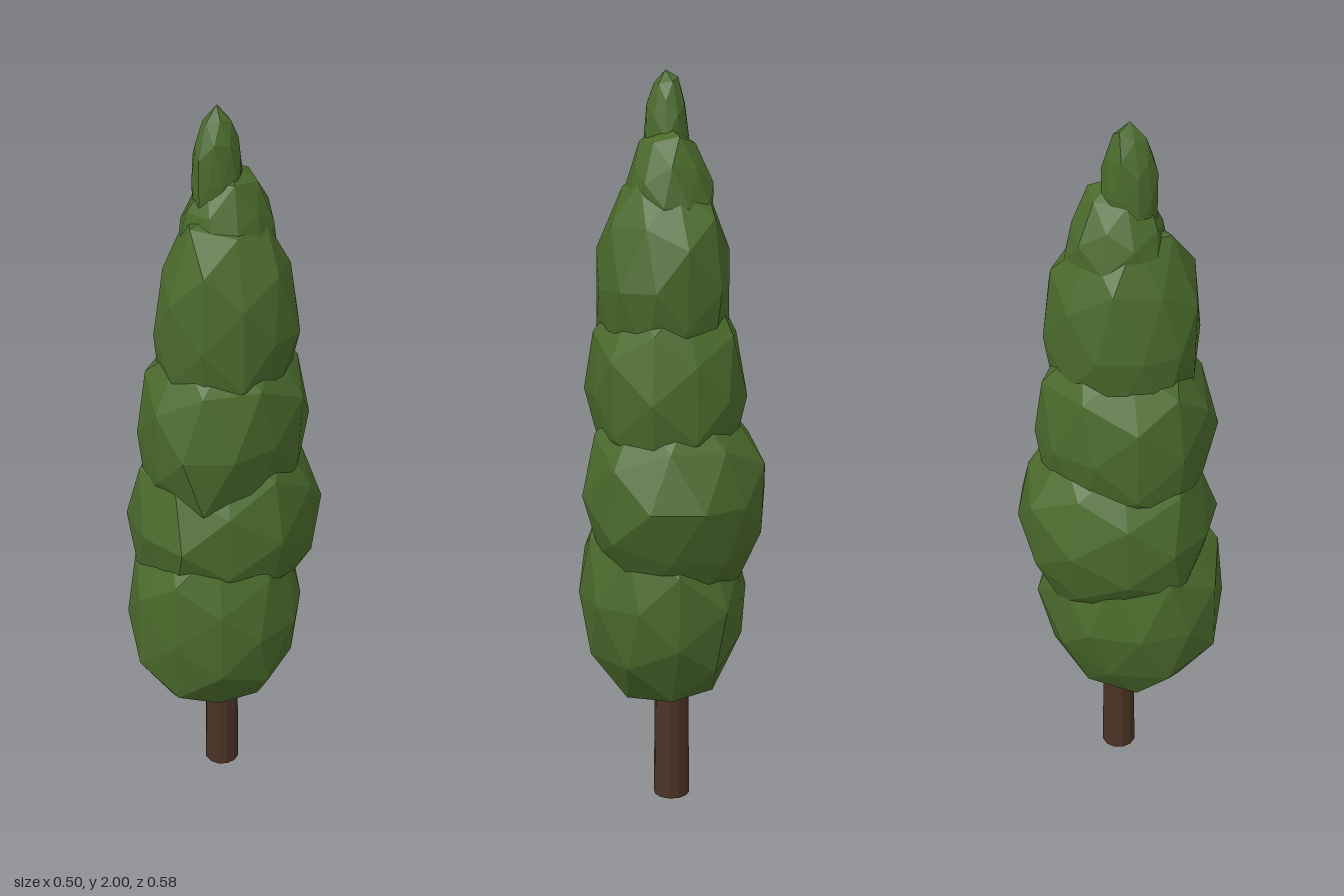
import * as THREE from 'three';

const leafGreen = new THREE.MeshStandardMaterial({ color: 0x4a6a2c, flatShading: true });
leafGreen.name = 'leafGreen';
const barkBrown = new THREE.MeshStandardMaterial({ color: 0x4a3224, flatShading: true });
barkBrown.name = 'barkBrown';

// Repeatable value in -1..1 for a corner, so shared corners move together
function noise(x, y, z, seed) {
  const s = Math.sin(Math.round(x * 100) * 12.99 + Math.round(y * 100) * 78.23
    + Math.round(z * 100) * 37.72 + seed * 9.17) * 43758.55;
  return (s - Math.floor(s)) * 2 - 1;
}

// Faceted leaf clump: a stretched icosphere with uneven corners
function clump(center, radii, turn, seed) {
  const geo = new THREE.IcosahedronGeometry(1, 1);
  geo.rotateY(turn);
  const pos = geo.attributes.position;
  for (let i = 0; i < pos.count; i++) {
    const x = pos.getX(i), y = pos.getY(i), z = pos.getZ(i);
    const k = 1 + 0.06 * noise(x, y, z, seed);
    pos.setXYZ(i, x * k * radii[0], y * k * radii[1], z * k * radii[2]);
  }
  geo.computeVertexNormals();
  const mesh = new THREE.Mesh(geo, leafGreen);
  mesh.position.set(...center);
  return mesh;
}

export function createModel() {
  const tree = new THREE.Group();
  tree.name = 'cypressTree';

  // Trunk
  const trunk = new THREE.Mesh(new THREE.CylinderGeometry(0.045, 0.051, 0.5, 12), barkBrown);
  trunk.name = 'trunk';
  trunk.position.set(0, 0.25, -0.005);
  tree.add(trunk);

  // Foliage from bottom to top: centre, radii
  const clumps = [
    [[0.015, 0.6, 0.035], [0.238, 0.335, 0.268]],
    [[-0.005, 0.89, -0.02], [0.25, 0.31, 0.282]],
    [[0.01, 1.16, 0.005], [0.213, 0.32, 0.245]],
    [[0.023, 1.44, 0], [0.18, 0.335, 0.205]],
    [[0.013, 1.65, -0.012], [0.118, 0.2, 0.135]],
    [[0.005, 1.82, 0.02], [0.057, 0.18, 0.069]],
  ];
  clumps.forEach(([center, radii], i) => {
    const mesh = clump(center, radii, i * 1.1 + 0.3, i + 1);
    mesh.name = 'foliageClump' + (i + 1);
    tree.add(mesh);
  });

  return tree;
}
